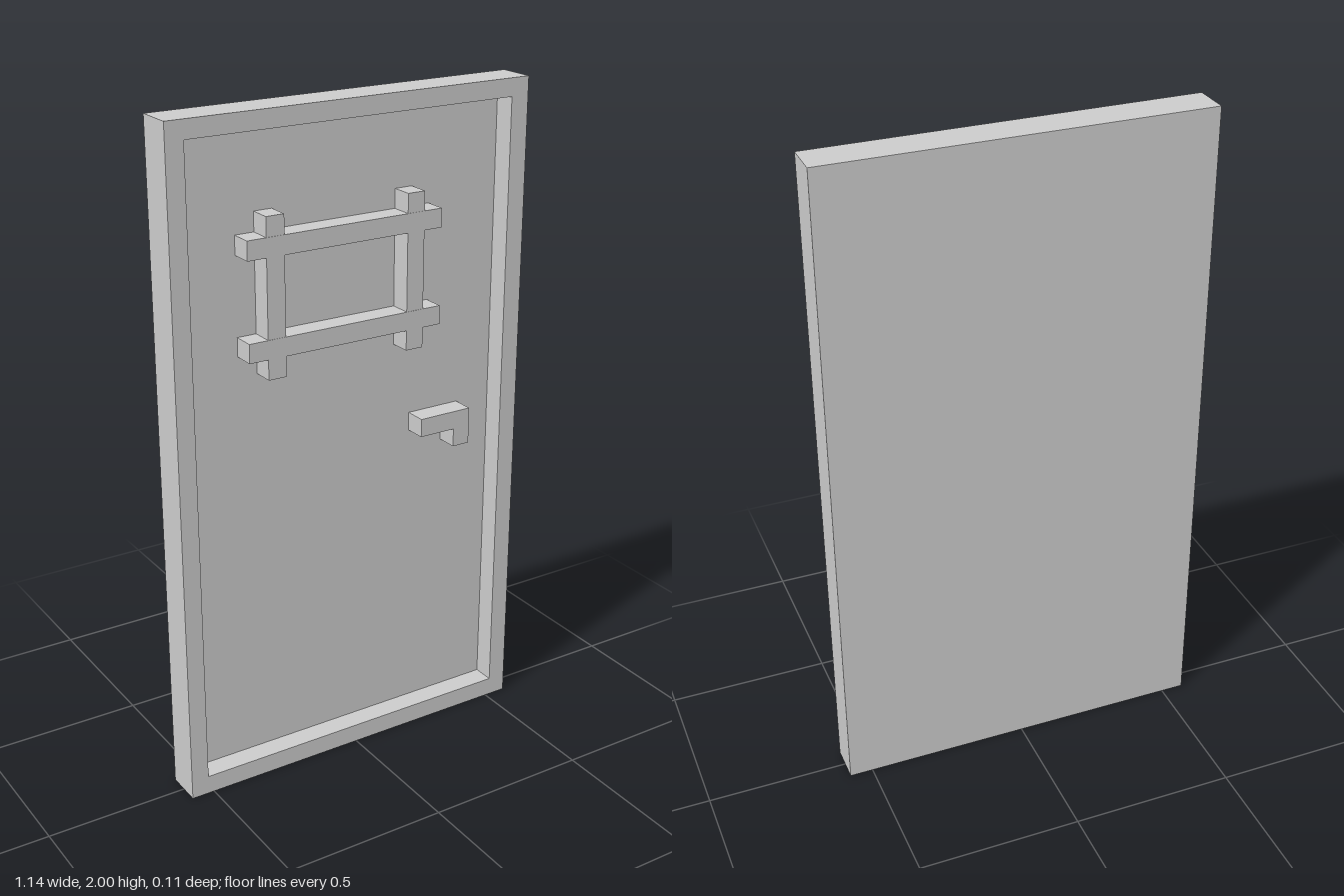
import * as THREE from 'three';

const FRONT = 0.057, BACK = -0.057, PANEL = -0.01;

export function createModel() {
  const door = new THREE.Group();
  door.name = 'door';
  const material = new THREE.MeshStandardMaterial({ color: 0xcccccc, flatShading: true });

  const add = (name, geometry) => {
    const mesh = new THREE.Mesh(geometry, material);
    mesh.name = name;
    door.add(mesh);
  };
  const box = (name, x0, x1, y0, y1, z0, z1) =>
    add(name, new THREE.BoxGeometry(x1 - x0, y1 - y0, z1 - z0)
      .translate((x0 + x1) / 2, (y0 + y1) / 2, (z0 + z1) / 2));
  const polygon = pts => pts.map(([x, y]) => new THREE.Vector2(x, y));
  const extrude = (name, shape, z0, z1) =>
    add(name, new THREE.ExtrudeGeometry(shape, { depth: z1 - z0, bevelEnabled: false }).translate(0, 0, z0));

  // Raised rim with a rectangular opening, over the full slab depth
  const rim = new THREE.Shape(polygon([[-0.571, 0], [0.571, 0], [0.571, 2], [-0.571, 2]]));
  rim.holes.push(new THREE.Path(polygon([[-0.517, 0.057], [-0.517, 1.947], [0.514, 1.947], [0.514, 0.057]])));
  extrude('rim', rim, PANEL, FRONT);

  // Solid slab behind the recess
  box('panel', -0.571, 0.571, 0, 2, BACK, PANEL);

  // Crossed bars of the window
  for (const y of [1.317, 1.604]) box('horizontalBar', -0.345, 0.281, y, y + 0.056, PANEL, FRONT);
  for (const x of [-0.286, 0.167]) box('verticalBar', x, x + 0.056, 1.257, 1.717, PANEL, FRONT - 0.001);

  // L-shaped handle
  extrude('handle', new THREE.Shape(polygon([
    [0.225, 0.975], [0.342, 0.975], [0.342, 0.919], [0.398, 0.919], [0.398, 1.031], [0.225, 1.031],
  ])), PANEL, FRONT);

  return door;
}
